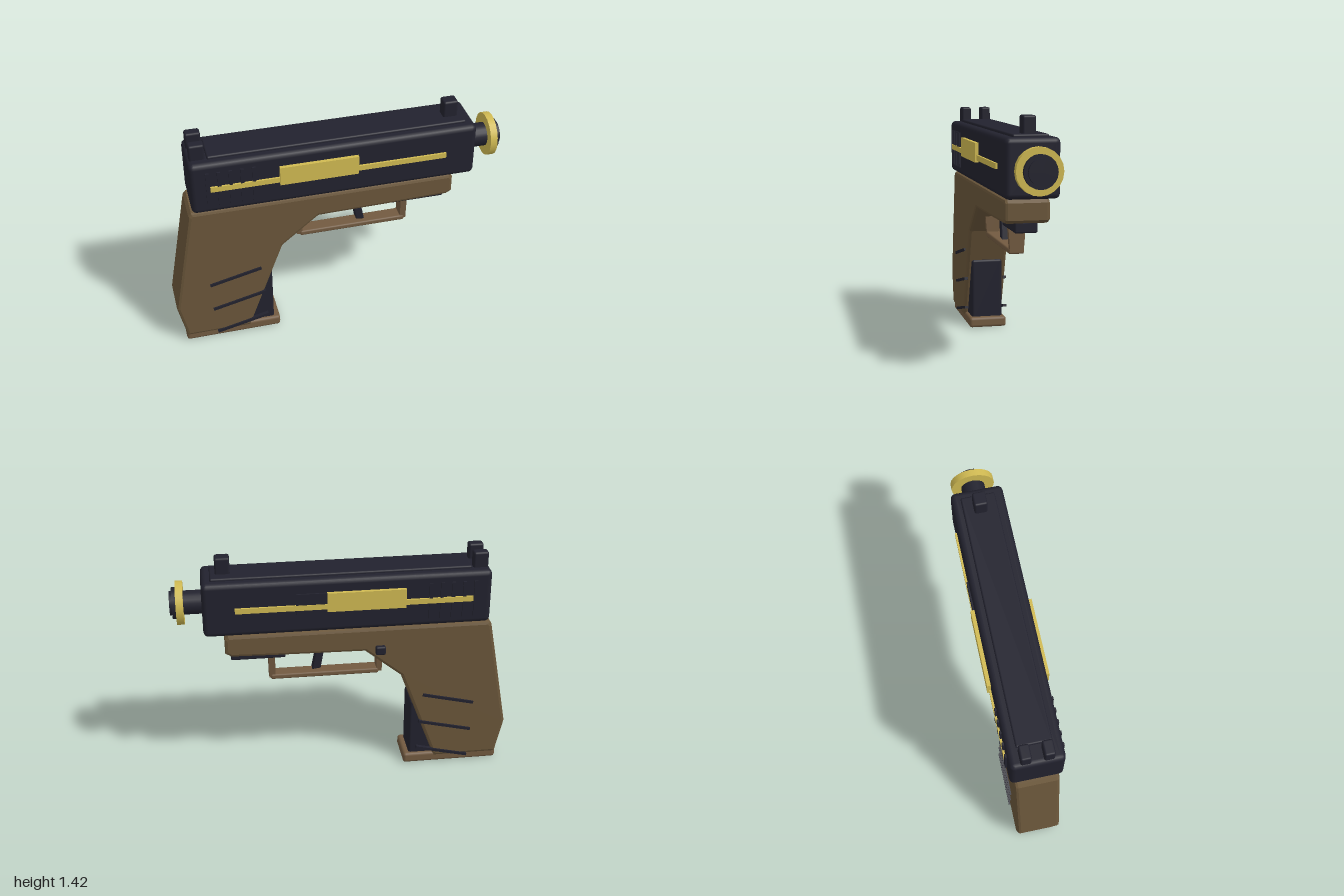
import * as THREE from 'three';
import { RoundedBoxGeometry } from 'three/addons/geometries/RoundedBoxGeometry.js';

const material = (name, color) => Object.assign(new THREE.MeshStandardMaterial({ color }), { name });

export function createModel() {
  const model = new THREE.Group();
  const dark = material('dark metal', 0x22222e);
  const brown = material('brown frame', 0x6a563a);
  const tan = material('guard brown', 0x725a40);
  const gold = material('gold trim', 0xd0ba52);

  const add = (name, geometry, mat, parent = model) => {
    const mesh = new THREE.Mesh(geometry, mat);
    mesh.name = name;
    parent.add(mesh);
    return mesh;
  };

  // Box given by its limits on each axis, with rounded edges if r > 0
  const box = (name, mat, [x0, x1], [y0, y1], [z0, z1], r = 0) => {
    const size = [x1 - x0, y1 - y0, z1 - z0];
    const geometry = r ? new RoundedBoxGeometry(...size, 2, r) : new THREE.BoxGeometry(...size);
    const mesh = add(name, geometry, mat);
    mesh.position.set((x0 + x1) / 2, (y0 + y1) / 2, (z0 + z1) / 2);
    return mesh;
  };

  // Side outline extruded across z, with bevelled edges kept inside the outline
  const slab = (name, mat, points, halfWidth, bevel) => {
    const shape = new THREE.Shape(points.map(([x, y]) => new THREE.Vector2(x, y)));
    const geometry = new THREE.ExtrudeGeometry(shape, {
      depth: 2 * (halfWidth - bevel), bevelThickness: bevel, bevelSize: bevel,
      bevelOffset: -bevel, bevelSegments: 2,
    });
    geometry.translate(0, 0, bevel - halfWidth);
    return add(name, geometry, mat);
  };

  // Slide with raised top rib
  box('slide', dark, [-0.855, 0.817], [0.977, 1.305], [-0.153, 0.153], 0.03);
  box('slideRib', dark, [-0.743, 0.765], [1.28, 1.32], [-0.1, 0.1], 0.01);

  // Sights
  for (const s of [-1, 1]) {
    const z = s * 0.064;
    box('rearSight', dark, [-0.84, -0.752], [1.29, 1.397], [z - 0.03, z + 0.03], 0.012);
  }
  box('frontSight', dark, [0.647, 0.733], [1.29, 1.417], [-0.038, 0.038], 0.012);

  // Gold trim and grip serrations on both sides of the slide
  for (const s of [-1, 1]) {
    const out = (depth) => [s * 0.14, s * depth].sort((a, b) => a - b);
    box('sideStripe', gold, [-0.743, 0.633], [1.125, 1.157], out(0.165));
    box('sidePanel', gold, [-0.35, 0.107], [1.112, 1.228], out(0.175));
    for (let i = 0; i < 5; i++) {
      const x = -0.757 + i * 0.0655;
      box('serration', dark, [x - 0.01, x + 0.01], [1.028, 1.25], out(0.163));
    }
  }
  box('ejectionPort', dark, [-0.1, 0.285], [1.075, 1.225], [-0.162, -0.14]);

  // Barrel, muzzle ring and stepped cap, all along x
  const muzzle = new THREE.Group();
  muzzle.name = 'muzzle';
  muzzle.position.y = 1.14;
  model.add(muzzle);
  const rod = (name, mat, x0, x1, radius) => {
    const mesh = add(name, new THREE.CylinderGeometry(radius, radius, x1 - x0, 20), mat, muzzle);
    mesh.rotation.z = -Math.PI / 2;
    mesh.position.x = (x0 + x1) / 2;
  };
  rod('barrel', dark, 0.78, 0.93, 0.07);
  rod('muzzleRing', gold, 0.921, 0.963, 0.128);
  rod('muzzleCap', dark, 0.95, 0.986, 0.092);
  rod('muzzleTip', dark, 0.97, 1.0, 0.07);

  // Frame and grip in one outline
  slab('frameAndGrip', brown, [
    [-0.56, 0.045], [-0.34, 0.635], [-0.12, 0.815], [0.4, 0.823], [0.665, 0.83],
    [0.7, 0.85], [0.7, 0.945], [0.68, 0.965], [-0.86, 0.965], [-0.877, 0.945],
    [-1.0, 0.267], [-0.952, 0.045],
  ], 0.128, 0.018);

  // Raised slanted bars on both sides of the grip
  const bars = [[-0.633, 0.459, 0.322], [-0.618, 0.27, 0.335], [-0.606, 0.083, 0.33]];
  for (const [x, y, length] of bars) {
    for (const s of [-1, 1]) {
      const bar = add('gripBar', new THREE.BoxGeometry(length, 0.017, 0.022), dark);
      bar.position.set(x, y, s * 0.127);
      bar.rotation.z = 0.235;
    }
  }

  // Magazine and its base plate
  box('magazine', dark, [-0.7, -0.405], [0.04, 0.437], [-0.098, 0.098], 0.015);
  box('basePlate', tan, [-0.957, -0.37], [0, 0.066], [-0.119, 0.119], 0.018);

  // Trigger, guard and accessory rail
  slab('trigger', dark, [[0.135, 0.672], [0.185, 0.665], [0.153, 0.83], [0.107, 0.83]], 0.032, 0.006);
  box('guardBar', tan, [-0.215, 0.435], [0.62, 0.652], [-0.045, 0.045], 0.01);
  const post = (name, x0, x1, top) => {
    const mesh = box(name, tan, [x0, x1], [0.632, top], [-0.052, 0.052]);
    // Narrower toward the bottom
    const p = mesh.geometry.attributes.position;
    for (let i = 0; i < p.count; i++) if (p.getY(i) < 0) p.setZ(i, p.getZ(i) * 0.75);
    mesh.geometry.computeVertexNormals();
  };
  post('guardFrontPost', 0.408, 0.445, 0.8);
  post('guardRearPost', -0.235, -0.202, 0.78);
  box('accessoryRail', dark, [0.345, 0.668], [0.775, 0.84], [-0.065, 0.065], 0.01);

  // Magazine release button
  box('releaseButton', dark, [-0.24, -0.18], [0.798, 0.852], [-0.155, -0.11], 0.01);

  return model;
}
